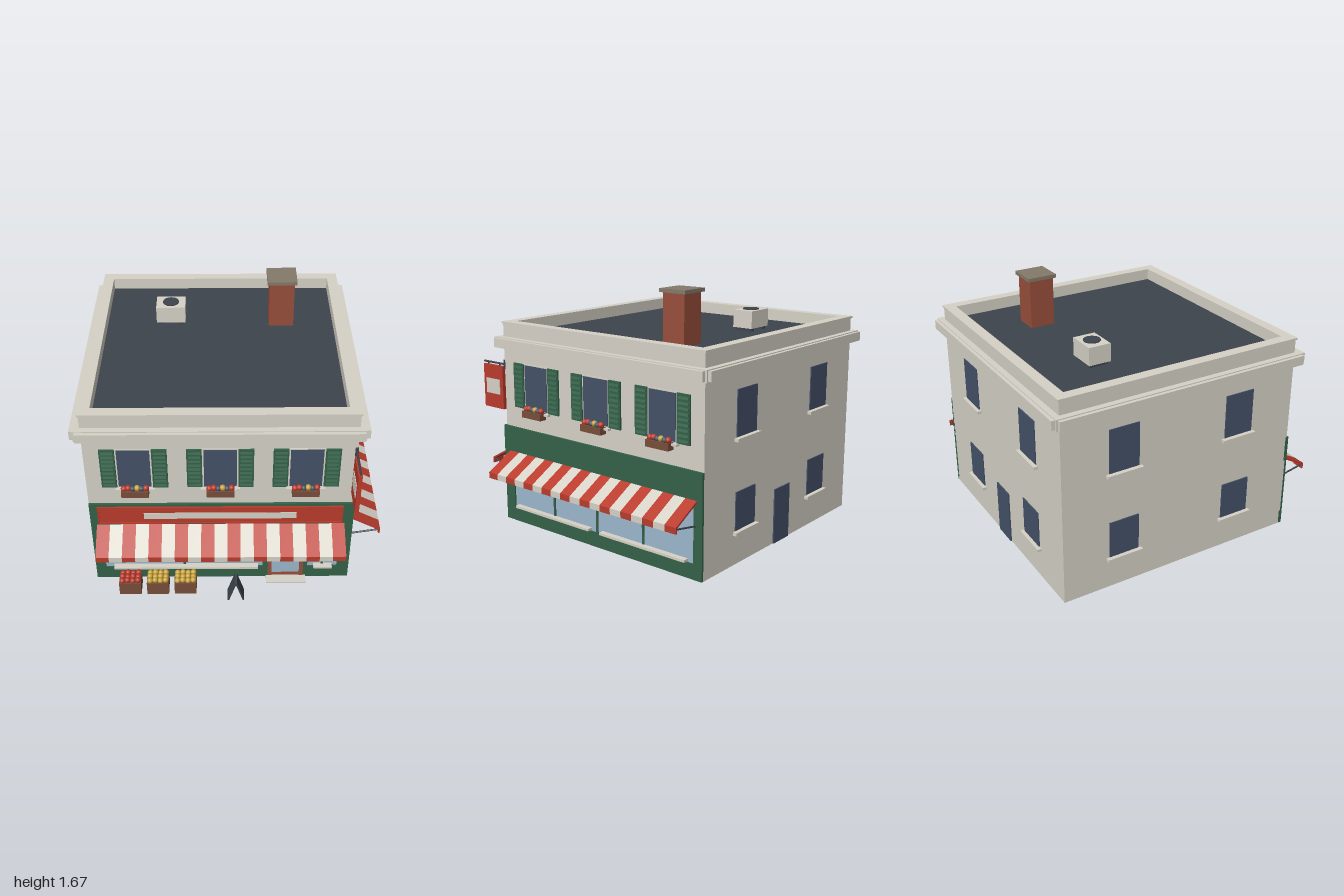
import * as THREE from 'three';

const paint = (name, color) => {
  const m = new THREE.MeshStandardMaterial({ color });
  m.name = name;
  return m;
};
const cream = paint('cream plaster', 0xd6d2c7);
const green = paint('shop green', 0x34624a);
const red = paint('sign red', 0xba3b2c);
const shopGlass = paint('shop glass', 0x9bb7cc);
const darkGlass = paint('dark glass', 0x445168);
const charcoal = paint('charcoal', 0x3e444c);
const wood = paint('brown wood', 0x784d39);
const brick = paint('chimney brick', 0x984e3b);
const stone = paint('cap stone', 0x857a6b);
const yellow = paint('yellow', 0xc9a53c);

const H = 0.85; // half width of the square building

function add(parent, name, geometry, material, x = 0, y = 0, z = 0) {
  const m = new THREE.Mesh(geometry, material);
  m.name = name;
  m.position.set(x, y, z);
  parent.add(m);
  return m;
}

// Box given by its limits along each axis
function box(parent, name, mat, x0, x1, y0, y1, z0, z1) {
  const g = new THREE.BoxGeometry(x1 - x0, y1 - y0, z1 - z0);
  return add(parent, name, g, mat, (x0 + x1) / 2, (y0 + y1) / 2, (z0 + z1) / 2);
}

function rod(parent, name, mat, a, b, r) {
  const p = new THREE.Vector3(...a), d = new THREE.Vector3(...b).sub(p);
  const m = add(parent, name, new THREE.CylinderGeometry(r, r, d.length(), 8), mat);
  m.position.copy(p).addScaledVector(d, 0.5);
  m.quaternion.setFromUnitVectors(new THREE.Vector3(0, 1, 0), d.normalize());
}

function group(parent, name, x = 0, y = 0, z = 0) {
  const g = new THREE.Group();
  g.name = name;
  g.position.set(x, y, z);
  parent.add(g);
  return g;
}

const ball = new THREE.SphereGeometry(0.02, 10, 8);

// Upper window with slatted shutters and a flower box, centred on u
function shutteredWindow(wall, u) {
  const w = group(wall, 'shutteredWindow', u, 0, H);
  box(w, 'windowFrame', cream, -0.113, 0.113, 0.82, 1.133, -0.01, 0.006);
  box(w, 'windowGlass', darkGlass, -0.103, 0.103, 0.83, 1.125, 0, 0.01);
  box(w, 'windowSill', cream, -0.125, 0.125, 0.808, 0.822, -0.01, 0.03);
  for (const s of [-1, 1]) {
    const shutter = group(w, 'shutter', s * 0.162, 0, 0);
    box(shutter, 'shutterPanel', green, -0.048, 0.048, 0.825, 1.13, -0.005, 0.012);
    for (let i = 0; i < 9; i++) {
      const y = 0.848 + i * 0.0325;
      const slat = box(shutter, 'shutterSlat', green, -0.038, 0.038, y - 0.012, y + 0.012, 0.008, 0.014);
      slat.rotation.x = -0.35;
    }
  }
  box(w, 'flowerBox', wood, -0.087, 0.087, 0.78, 0.825, 0.008, 0.06);
  [red, red, darkGlass, yellow, darkGlass, red].forEach((mat, i) =>
    add(w, 'flower', ball, i === 3 ? yellow : mat, -0.07 + i * 0.028, 0.835 + (i % 2) * 0.005, 0.034));
}

// Plain window with a sill
function plainWindow(wall, u, y0, y1) {
  box(wall, 'plainWindow', darkGlass, u - 0.105, u + 0.105, y0, y1, H - 0.01, H + 0.007);
  box(wall, 'plainSill', cream, u - 0.125, u + 0.125, y0 - 0.025, y0 - 0.005, H - 0.01, H + 0.028);
}

// Striped sloping awning with a short valance and two braces
function awning(wall) {
  const g = group(wall, 'awning');
  const n = 19, length = 1.62, step = length / n;
  const profile = new THREE.Shape([
    [H, 0.512], [1.062, 0.396], [1.062, 0.355], [1.052, 0.355], [1.052, 0.388], [H, 0.498],
  ].map(p => new THREE.Vector2(...p)));
  const stripe = new THREE.ExtrudeGeometry(profile, { depth: step, bevelEnabled: false });
  stripe.rotateY(-Math.PI / 2);
  for (let i = 0; i < n; i++)
    add(g, 'awningStripe', stripe, i % 2 ? cream : red, -length / 2 + (i + 1) * step);
  for (const s of [-1, 1])
    rod(g, 'awningBrace', charcoal, [s * 0.795, 0.34, H], [s * 0.795, 0.378, 1.052], 0.006);
}

// Shop window divided by mullions
function shopWindow(wall, u0, u1, mullions, sills) {
  box(wall, 'shopGlass', shopGlass, u0, u1, 0.1, 0.5, H - 0.01, H + 0.006);
  for (const u of mullions)
    box(wall, 'mullion', green, u - 0.008, u + 0.008, 0.1, 0.5, H, H + 0.013);
  for (const [a, b] of sills)
    box(wall, 'shopSill', cream, a, b, 0.106, 0.122, H, H + 0.045);
}

// Green band above, base below, and posts between the openings
function shopFrame(wall, u0, u1, posts, bases) {
  box(wall, 'fascia', green, u0, u1, 0.5, 0.68, H - 0.01, H + 0.015);
  for (const [a, b] of posts) box(wall, 'shopPost', green, a, b, 0.1, 0.5, H - 0.01, H + 0.015);
  for (const [a, b] of bases) box(wall, 'shopBase', green, a, b, 0, 0.1, H - 0.01, H + 0.015);
}

export function createModel() {
  const model = new THREE.Group();
  model.name = 'cornerShop';
  const house = group(model, 'building', -0.077, 0, -0.08);

  // Body, cornice, parapet and roof
  box(house, 'walls', cream, -H, H, 0, 1.315, -H, H);
  box(house, 'corniceSides', cream, -0.913, 0.913, 1.23, 1.292, -0.878, 0.878);
  box(house, 'corniceFrontBack', cream, -0.878, 0.878, 1.23, 1.292, -0.913, 0.913);
  box(house, 'corniceMould', cream, -0.89, 0.89, 1.222, 1.298, -0.89, 0.89);
  const ring = (name, outer, y, h) => {
    const square = s => [[-s, -s], [s, -s], [s, s], [-s, s]].map(p => new THREE.Vector2(...p));
    const shape = new THREE.Shape(square(outer));
    shape.holes.push(new THREE.Path(square(0.785).reverse()));
    const g = new THREE.ExtrudeGeometry(shape, { depth: h, bevelEnabled: false });
    g.rotateX(-Math.PI / 2);
    add(house, name, g, cream, 0, y, 0);
  };
  ring('parapet', H, 1.31, 0.077);
  ring('parapetCap', 0.858, 1.387, 0.013);
  box(house, 'roof', charcoal, -0.785, 0.785, 1.312, 1.32, -0.785, 0.785);

  // Chimney and rooftop fan unit
  box(model, 'chimney', brick, 0.26, 0.43, 1.315, 1.65, -0.51, -0.34);
  box(model, 'chimneyCap', stone, 0.244, 0.446, 1.65, 1.674, -0.526, -0.324);
  const unit = group(model, 'fanUnit', -0.42, 0, -0.43);
  box(unit, 'fanCase', cream, -0.1, 0.1, 1.34, 1.46, -0.076, 0.076);
  add(unit, 'fanDisc', new THREE.CylinderGeometry(0.055, 0.055, 0.008, 24), charcoal, 0, 1.463, 0);
  for (const x of [-0.07, 0.07])
    box(unit, 'fanFoot', charcoal, x - 0.015, x + 0.015, 1.318, 1.342, -0.065, 0.065);

  // One group per wall; local +z points outwards
  const [front, right, back, left] = ['front', 'right', 'back', 'left'].map((name, i) => {
    const g = group(house, name + 'Wall');
    g.rotation.y = i * Math.PI / 2;
    return g;
  });
  for (const wall of [front, right]) {
    for (const u of [-0.54, 0, 0.54]) shutteredWindow(wall, u);
    awning(wall);
  }
  for (const wall of [back, left])
    for (const u of [-0.425, 0.425]) {
      plainWindow(wall, u, 0.825, 1.12);
      plainWindow(wall, u, 0.225, 0.475);
    }
  box(back, 'backDoor', darkGlass, -0.09, 0.09, 0, 0.375, H - 0.01, H + 0.008);

  // Front shop window and door
  shopFrame(front, -H, H + 0.015,
    [[-H, -0.783], [0.28, 0.317], [0.557, 0.585], [0.785, H + 0.015]],
    [[-H, 0.317], [0.557, H + 0.015]]);
  shopWindow(front, -0.783, 0.28, [-0.248], [[-0.725, 0.25]]);
  shopWindow(front, 0.585, 0.785, [0.685], [[0.625, 0.75]]);
  for (const u of [0.33, 0.544])
    box(front, 'doorFrame', brick, u - 0.013, u + 0.013, 0, 0.5, H - 0.01, H + 0.018);
  box(front, 'doorGlass', shopGlass, 0.343, 0.531, 0.03, 0.5, H - 0.01, H + 0.008);
  box(front, 'doorBottom', brick, 0.343, 0.531, 0, 0.035, H - 0.01, H + 0.012);
  rod(front, 'doorHandle', yellow, [0.511, 0.165, H + 0.018], [0.511, 0.26, H + 0.018], 0.005);
  box(front, 'doorStep', cream, 0.305, 0.575, 0, 0.013, H, H + 0.08);

  // Front sign board
  box(front, 'signBoard', red, -0.797, 0.792, 0.52, 0.66, H, H + 0.022);
  for (const y of [0.524, 0.656])
    box(front, 'signTrim', red, -0.797, 0.792, y - 0.005, y + 0.005, H, H + 0.028);
  for (const u of [-0.793, 0.788])
    box(front, 'signTrim', red, u - 0.005, u + 0.005, 0.52, 0.66, H, H + 0.028);
  box(front, 'signPanel', cream, -0.498, 0.492, 0.562, 0.612, H + 0.02, H + 0.026);

  // Right shop window
  shopFrame(right, -H, H, [[-H, -0.78], [0.785, H]], [[-H, H]]);
  shopWindow(right, -0.78, 0.785, [-0.39, 0, 0.39], [[-0.745, -0.05], [0.045, 0.74]]);

  // Hanging sign on a bracket
  const sign = group(model, 'hangingSign', 0.767, 0, 0);
  box(sign, 'hangingBoard', red, -0.013, 0.013, 0.785, 1.085, 0.79, 0.982);
  box(sign, 'hangingPanel', cream, -0.017, 0.017, 0.885, 0.99, 0.82, 0.955);
  rod(sign, 'signBracket', charcoal, [0, 1.103, 0.765], [0, 1.103, 0.985], 0.007);
  box(sign, 'bracketPlate', charcoal, -0.01, 0.01, 1.07, 1.135, 0.765, 0.778);
  for (const z of [0.83, 0.945])
    rod(sign, 'signHanger', charcoal, [0, 1.08, z], [0, 1.103, z], 0.004);

  // Fruit crates
  [red, yellow, yellow].forEach((fruit, i) => {
    const crate = group(model, 'fruitCrate', -0.687 + i * 0.185, 0, 0.882);
    box(crate, 'crate', wood, -0.073, 0.073, 0, 0.1, -0.057, 0.057);
    for (let r = 0; r < 3; r++)
      for (let c = 0; c < 4; c++)
        add(crate, 'fruit', ball, fruit, -0.052 + c * 0.035, 0.108 + ((r + c) % 2) * 0.006, -0.035 + r * 0.035);
  });

  // Folding pavement board
  const board = group(model, 'pavementBoard', 0.021, 0, 0.952);
  for (const s of [-1, 1]) {
    const panel = add(board, 'boardPanel', new THREE.BoxGeometry(0.01, 0.168, 0.096), charcoal, s * 0.026, 0.083, 0);
    panel.rotation.z = s * 0.3;
  }
  return model;
}
